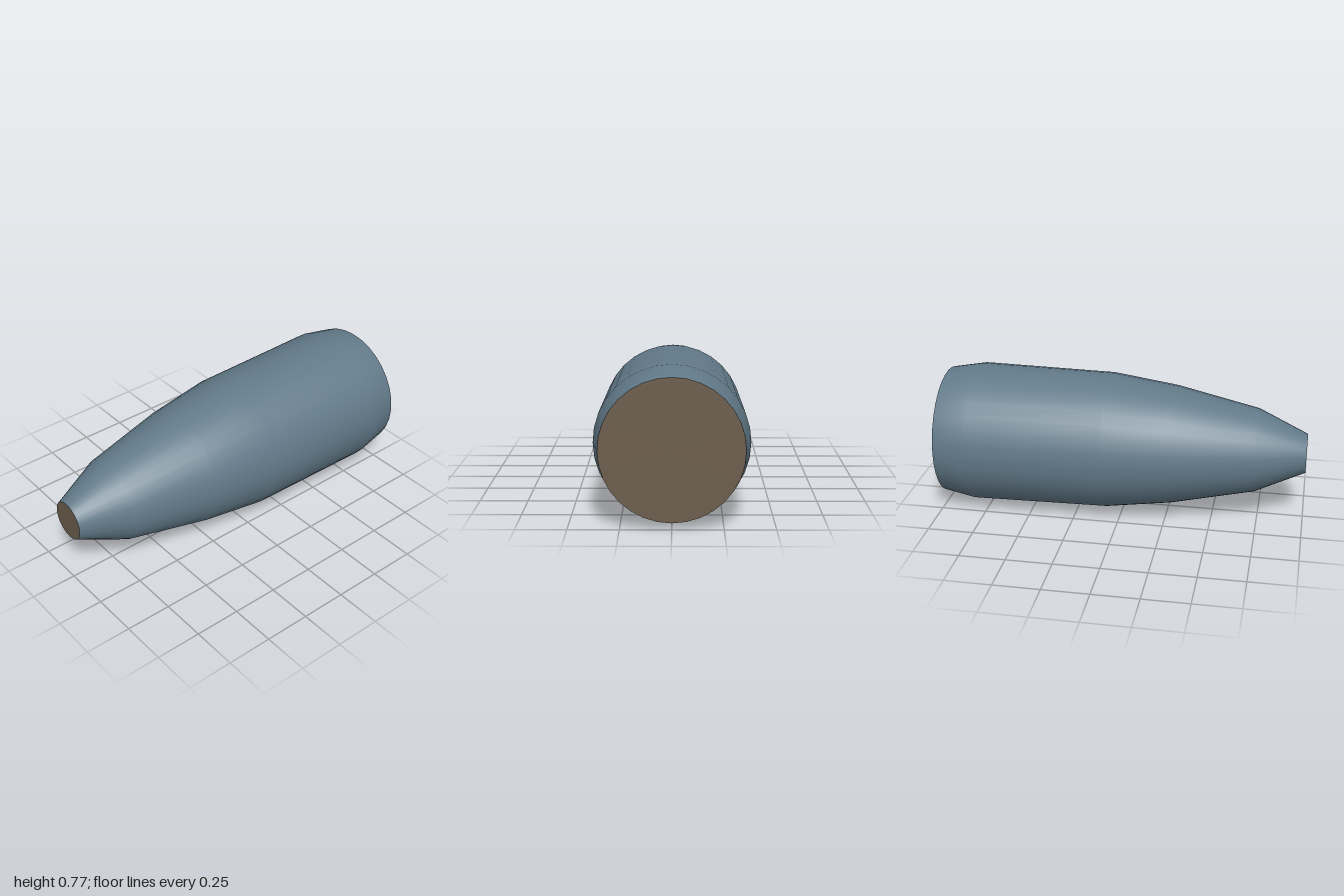
import * as THREE from 'three';

const SIDES = 32;
const AXIS_HEIGHT = 0.387;

// Radius and z along the body, from rear to nose
const PROFILE = [
  [0.352, -1], [0.385, -0.82], [0.374, -0.08],
  [0.325, 0.28], [0.228, 0.73], [0.106, 1],
];

export function createModel() {
  const group = new THREE.Group();
  group.name = 'taperedBody';

  const blueGrey = new THREE.MeshStandardMaterial({ color: 0x627a89 });
  blueGrey.name = 'blueGrey';
  const brown = new THREE.MeshStandardMaterial({ color: 0x6b5c4c });
  brown.name = 'brown';

  const add = (name, geometry, material) => {
    const mesh = new THREE.Mesh(geometry, material);
    mesh.name = name;
    mesh.position.y = AXIS_HEIGHT;
    group.add(mesh);
  };

  // Smooth shell, turned about the z axis
  const points = PROFILE.map(([r, z]) => new THREE.Vector2(r, z));
  add('shell', new THREE.LatheGeometry(points, SIDES).rotateX(Math.PI / 2), blueGrey);

  // Flat discs closing both ends
  add('noseCap', new THREE.CircleGeometry(PROFILE.at(-1)[0], SIDES).translate(0, 0, 1), brown);
  add('rearCap', new THREE.CircleGeometry(PROFILE[0][0], SIDES).rotateY(Math.PI).translate(0, 0, -1), brown);

  return group;
}
